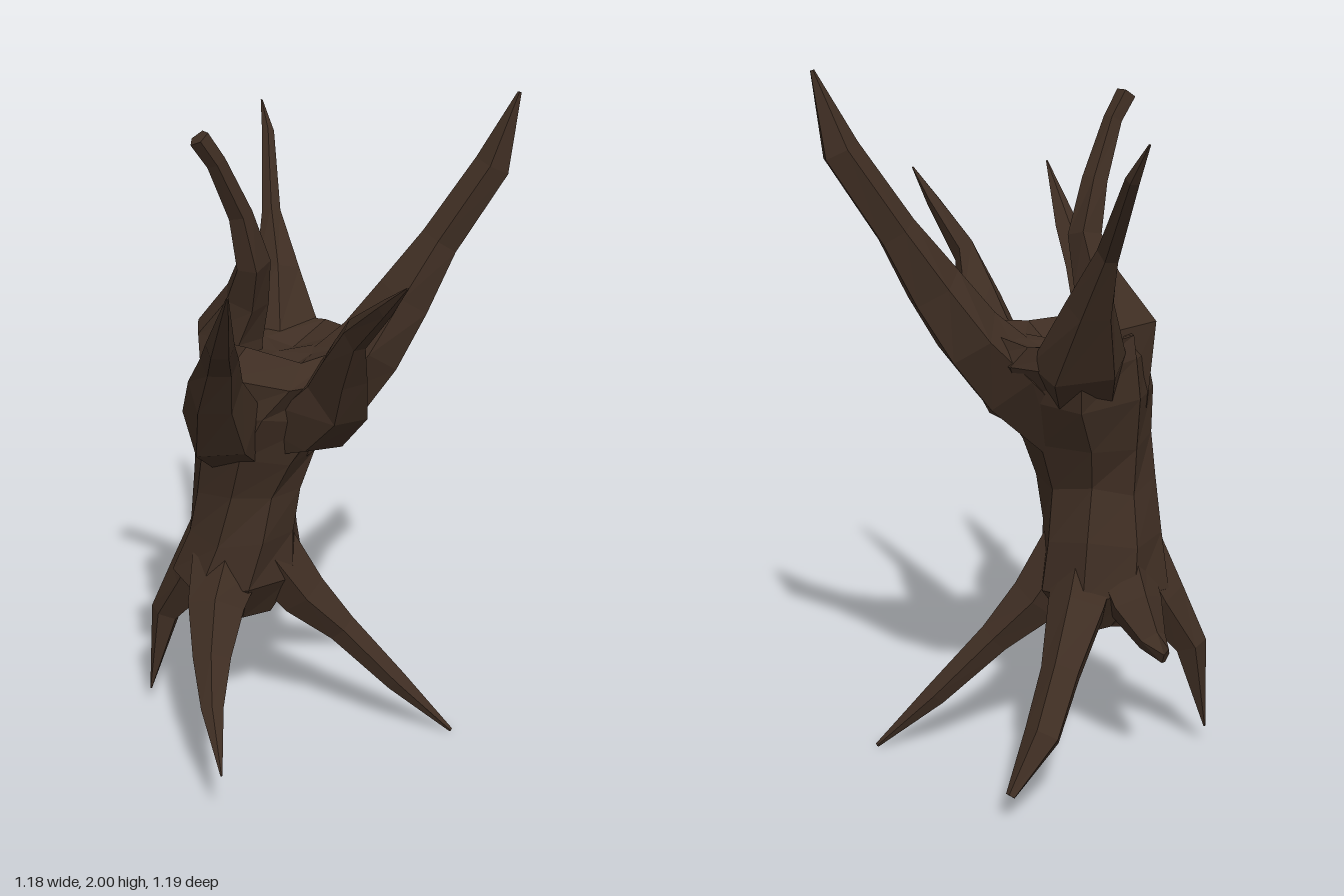
import * as THREE from 'three';

const bark = new THREE.MeshStandardMaterial({ color: 0x3f2e23, flatShading: true });
bark.name = 'dark bark';

// Skin a list of rings (arrays of Vector3, counter-clockwise about the path) with capped ends
function skin(name, rings) {
  const pos = [];
  const tri = (...pts) => pts.forEach((p) => pos.push(p.x, p.y, p.z));
  const n = rings[0].length;
  const middle = (r) => r.reduce((s, p) => s.add(p), new THREE.Vector3()).divideScalar(n);
  const first = rings[0], last = rings[rings.length - 1];
  const c0 = middle(first), c1 = middle(last);
  for (let i = 0; i < n; i++) {
    const j = (i + 1) % n;
    for (let k = 0; k < rings.length - 1; k++) {
      const a = rings[k], b = rings[k + 1];
      tri(a[i], a[j], b[j]);
      tri(a[i], b[j], b[i]);
    }
    tri(first[j], first[i], c0);
    tri(last[i], last[j], c1);
  }
  const g = new THREE.BufferGeometry();
  g.setAttribute('position', new THREE.Float32BufferAttribute(pos, 3));
  g.computeVertexNormals();
  const mesh = new THREE.Mesh(g, bark);
  mesh.name = name;
  return mesh;
}

// Tapering limb; each section is [x, y, z, half width, half height]
function limb(name, sections, sides = 5) {
  const p = sections.map((s) => new THREE.Vector3(s[0], s[1], s[2]));
  const end = p.length - 1;
  const across = new THREE.Vector3(0, 1, 0).cross(p[end].clone().sub(p[0])).normalize();
  const rings = sections.map(([, , , w, h], k) => {
    const t = p[Math.min(k + 1, end)].clone().sub(p[Math.max(k - 1, 0)]).normalize();
    const up = t.clone().cross(across).normalize();
    const side = up.clone().cross(t);
    return Array.from({ length: sides }, (_, i) => {
      const a = Math.PI / 2 + (i / sides) * Math.PI * 2;
      return p[k].clone().addScaledVector(side, Math.cos(a) * w).addScaledVector(up, Math.sin(a) * h);
    });
  });
  return skin(name, rings);
}

// Trunk levels: [y, min x, max x, min z, max z]
function trunk() {
  const levels = [
    [0.41, -0.32, -0.1, -0.17, 0.1],
    [0.53, -0.42, -0.03, -0.23, 0.18],
    [0.68, -0.385, -0.02, -0.2, 0.15],
    [0.83, -0.355, -0.015, -0.18, 0.125],
    [0.96, -0.36, 0.02, -0.22, 0.14],
    [1.1, -0.36, 0.1, -0.31, 0.16],
    [1.21, -0.37, 0.15, -0.365, 0.13],
    [1.28, -0.35, 0.1, -0.34, 0.06],
    [1.24, -0.24, 0.0, -0.2, 0.0],
  ];
  return skin('trunk', levels.map(([y, x0, x1, z0, z1], k) =>
    Array.from({ length: 8 }, (_, i) => {
      const a = (i / 8) * Math.PI * 2 + 0.12 * k;
      const r = 1 + 0.05 * Math.sin(i * 5.1 + k * 2.3); // gnarled bark
      return new THREE.Vector3(
        (x0 + x1) / 2 + (Math.cos(a) * r * (x1 - x0)) / 2,
        y + 0.015 * Math.sin(i * 2.7 + k),
        (z0 + z1) / 2 - (Math.sin(a) * r * (z1 - z0)) / 2);
    })));
}

export function createModel() {
  const tree = new THREE.Group();
  tree.name = 'deadTree';
  tree.add(trunk());

  // Branches
  tree.add(limb('backRightBranch', [
    [-0.2, 1.06, -0.14, 0.11, 0.07], [-0.25, 1.22, -0.26, 0.14, 0.08], [-0.32, 1.4, -0.335, 0.07, 0.065],
    [-0.4, 1.56, -0.4, 0.03, 0.04], [-0.53, 1.77, -0.54, 0.02, 0.02], [-0.59, 1.86, -0.58, 0.003, 0.003],
  ]));
  tree.add(limb('backLeftBranch', [
    [-0.13, 0.96, -0.08, 0.13, 0.1], [0.01, 1.15, -0.2, 0.21, 0.12], [0.09, 1.27, -0.275, 0.19, 0.1],
    [0.16, 1.41, -0.34, 0.11, 0.085], [0.225, 1.57, -0.42, 0.06, 0.06],
    [0.33, 1.79, -0.52, 0.05, 0.055], [0.388, 2.0, -0.55, 0.006, 0.006],
  ]));
  tree.add(limb('leftBranch', [
    [-0.1, 1.02, -0.05, 0.1, 0.1], [0.06, 1.09, -0.05, 0.12, 0.12], [0.17, 1.2, -0.02, 0.09, 0.12],
    [0.235, 1.31, 0.035, 0.065, 0.085], [0.315, 1.43, 0.1, 0.03, 0.05], [0.48, 1.56, 0.19, 0.02, 0.025],
    [0.59, 1.65, 0.25, 0.003, 0.003],
  ]));
  tree.add(limb('frontBranch', [
    [-0.17, 0.98, 0.03, 0.12, 0.1], [-0.11, 1.1, 0.17, 0.12, 0.13], [-0.04, 1.24, 0.27, 0.08, 0.09],
    [0.05, 1.36, 0.35, 0.055, 0.045], [0.165, 1.46, 0.475, 0.04, 0.035], [0.3, 1.65, 0.595, 0.003, 0.003],
  ]));
  tree.add(limb('uprightBranch', [
    [-0.25, 1.06, -0.02, 0.09, 0.09], [-0.26, 1.29, -0.03, 0.11, 0.09], [-0.19, 1.41, -0.035, 0.07, 0.07],
    [-0.14, 1.53, -0.01, 0.05, 0.065], [-0.145, 1.68, 0.04, 0.038, 0.035], [-0.16, 1.84, 0.12, 0.028, 0.032],
    [-0.18, 1.91, 0.165, 0.03, 0.032],
  ]));

  // Roots
  tree.add(limb('backRoot', [
    [-0.2, 0.63, -0.07, 0.11, 0.1], [-0.22, 0.49, -0.2, 0.09, 0.08], [-0.245, 0.36, -0.35, 0.06, 0.06],
    [-0.25, 0.22, -0.47, 0.055, 0.05], [-0.21, 0.08, -0.585, 0.015, 0.012],
  ]));
  tree.add(limb('backLeftRoot', [
    [-0.13, 0.62, -0.05, 0.1, 0.1], [-0.04, 0.46, -0.12, 0.08, 0.08], [0.06, 0.345, -0.19, 0.05, 0.05],
    [0.21, 0.17, -0.28, 0.04, 0.035], [0.365, 0.005, -0.37, 0.01, 0.006],
  ]));
  tree.add(limb('frontRoot', [
    [-0.19, 0.6, 0.05, 0.12, 0.1], [-0.15, 0.48, 0.16, 0.09, 0.08], [-0.08, 0.37, 0.26, 0.06, 0.055],
    [0.0, 0.27, 0.35, 0.035, 0.03], [0.14, 0.16, 0.47, 0.003, 0.003],
  ]));
  tree.add(limb('rightRoot', [
    [-0.27, 0.64, 0.01, 0.11, 0.1], [-0.37, 0.47, 0.03, 0.08, 0.08], [-0.455, 0.33, 0.065, 0.04, 0.05],
    [-0.49, 0.055, 0.11, 0.003, 0.003],
  ]));
  tree.add(limb('backRightRoot', [
    [-0.27, 0.62, -0.06, 0.1, 0.1], [-0.36, 0.5, -0.12, 0.085, 0.07], [-0.43, 0.42, -0.155, 0.045, 0.04],
    [-0.485, 0.39, -0.18, 0.01, 0.03],
  ]));
  return tree;
}
